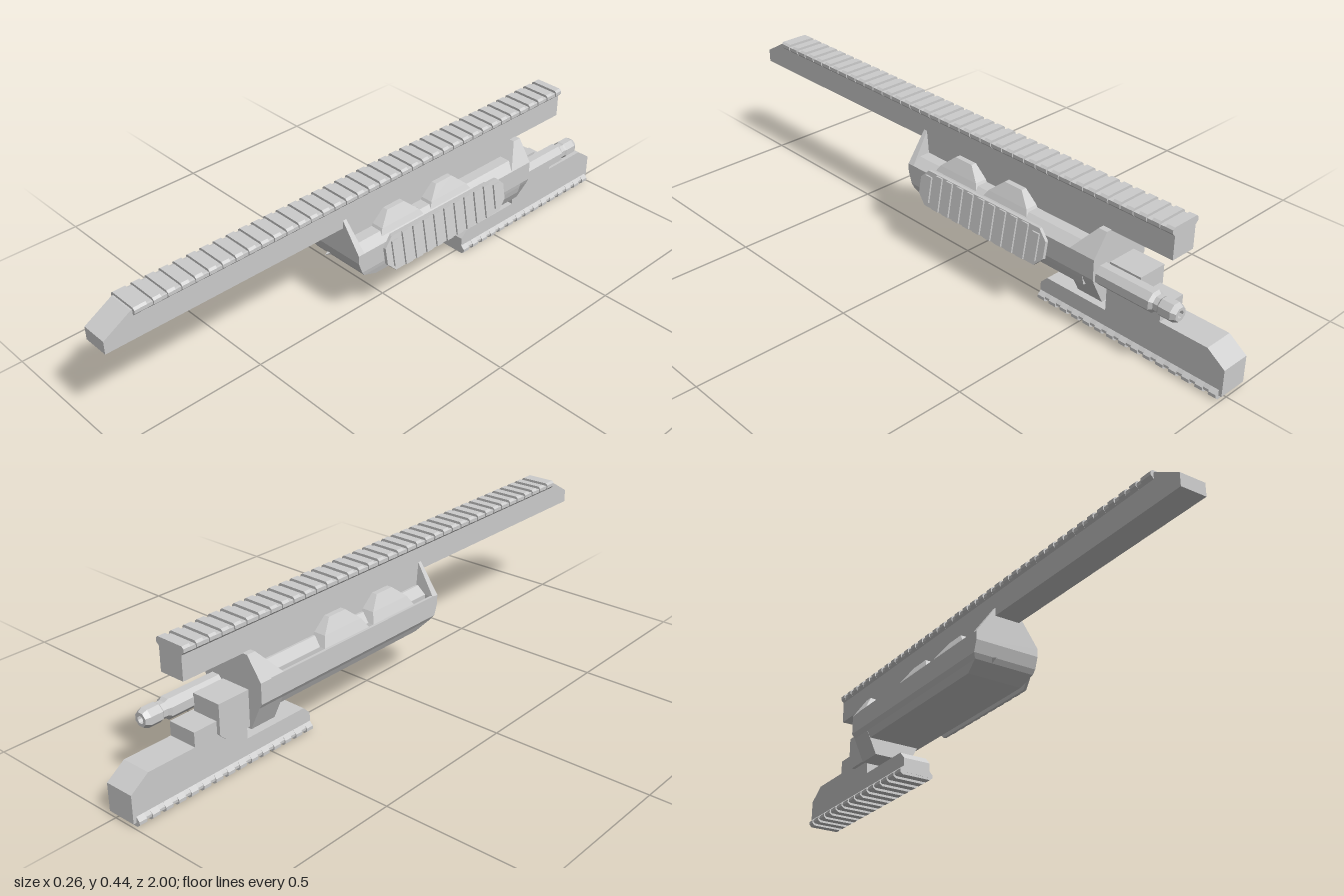
import * as THREE from 'three';

const CX = -0.025; // centre line of both rails
const mat = new THREE.MeshStandardMaterial({ color: 0xcccccc, flatShading: true });

function add(parent, name, geo) {
  const m = new THREE.Mesh(geo, mat);
  m.name = name;
  parent.add(m);
  return m;
}

function shapeOf(pts) {
  return new THREE.Shape(pts.map(([a, b]) => new THREE.Vector2(a, b)));
}

// cross-section in x,y drawn out from z0 to z1
function alongZ(pts, z0, z1) {
  return new THREE.ExtrudeGeometry(shapeOf(pts), { depth: z1 - z0, bevelEnabled: false }).translate(0, 0, z0);
}

// side profile in z,y drawn out from x0 to x1
function alongX(pts, x0, x1) {
  return new THREE.ExtrudeGeometry(shapeOf(pts), { depth: x1 - x0, bevelEnabled: false })
    .rotateY(-Math.PI / 2).translate(x1, 0, 0);
}

function box(x0, x1, y0, y1, z0, z1) {
  return new THREE.BoxGeometry(x1 - x0, y1 - y0, z1 - z0)
    .translate((x0 + x1) / 2, (y0 + y1) / 2, (z0 + z1) / 2);
}

// stacked rectangles, each row is [y, x0, x1, z0, z1], bottom to top
function stack(rows) {
  const pos = [], idx = [];
  for (const [y, x0, x1, z0, z1] of rows) pos.push(x0, y, z1, x1, y, z1, x1, y, z0, x0, y, z0);
  for (let r = 0; r < rows.length - 1; r++) {
    for (let k = 0; k < 4; k++) {
      const a = r * 4 + k, b = r * 4 + (k + 1) % 4;
      idx.push(a, b, b + 4, a, b + 4, a + 4);
    }
  }
  const t = (rows.length - 1) * 4;
  idx.push(0, 2, 1, 0, 3, 2, t, t + 1, t + 2, t, t + 2, t + 3);
  const g = new THREE.BufferGeometry();
  g.setAttribute('position', new THREE.Float32BufferAttribute(pos, 3));
  g.setIndex(idx);
  g.computeVertexNormals();
  return g;
}

// mirrored section about the rail centre from right-hand half points, bottom to top
function mirrored(half) {
  return [...half.map(([h, y]) => [CX + h, y]), ...half.slice().reverse().map(([h, y]) => [CX - h, y])];
}

export function createModel() {
  const model = new THREE.Group();

  // long upper rail with sloping nose and toothed top
  const top = new THREE.Group();
  top.name = 'upperRail';
  model.add(top);
  add(top, 'railBeam', alongX([[-0.8, 0.343], [1, 0.343], [1, 0.385], [0.91, 0.437], [-0.8, 0.437]], CX - 0.043, CX + 0.043));
  add(top, 'railLip', alongZ(mirrored([[0.043, 0.418], [0.049, 0.425], [0.049, 0.436], [0.043, 0.437]]), -0.8, 0.9));
  const tooth = mirrored([[0.043, 0.418], [0.053, 0.428], [0.053, 0.439], [0.046, 0.445]]);
  const pitch = 0.045;
  for (let i = 0; i < 37; i++) {
    const z = -0.8 + i * pitch;
    add(top, 'railTooth', alongZ(tooth, z, z + 0.025));
  }
  add(top, 'frontTooth', alongZ(tooth, 0.865, 0.905));

  // main housing
  const body = new THREE.Group();
  body.name = 'housing';
  model.add(body);
  add(body, 'neck', box(CX - 0.043, CX + 0.043, 0.27, 0.345, -0.59, 0.17));
  add(body, 'lowerShell', stack([
    [0.172, -0.113, 0.076, -0.55, 0.1],
    [0.195, -0.125, 0.082, -0.55, 0.155],
    [0.21, -0.135, 0.085, -0.55, 0.165],
    [0.247, -0.135, 0.085, -0.55, 0.178],
  ]));
  add(body, 'upperShell', stack([
    [0.24, -0.105, 0.085, -0.55, 0.165],
    [0.275, -0.105, 0.085, -0.55, 0.165],
    [0.297, -0.075, 0.055, -0.55, 0.165],
  ]));
  add(body, 'slotWall', box(-0.135, -0.126, 0.24, 0.277, -0.55, 0.165));
  add(body, 'frontPlate', stack([
    [0.247, -0.135, 0.085, 0.155, 0.178],
    [0.275, -0.135, 0.085, 0.155, 0.178],
    [0.37, -0.068, 0.018, 0.165, 0.178],
  ]));
  add(body, 'rearBlock', stack([
    [0.118, -0.09, 0.04, -0.59, -0.5],
    [0.195, -0.125, 0.079, -0.59, -0.5],
    [0.21, -0.135, 0.085, -0.59, -0.5],
    [0.275, -0.135, 0.085, -0.59, -0.5],
    [0.345, -0.086, 0.036, -0.59, -0.56],
  ]));
  for (const z of [-0.02, -0.23]) {
    add(body, 'clampBlock', stack([
      [0.275, -0.125, 0.075, z - 0.095, z + 0.095],
      [0.305, -0.109, 0.059, z - 0.078, z + 0.078],
      [0.342, -0.086, 0.036, z - 0.035, z + 0.035],
    ]));
  }
  // small catch on the nose
  add(body, 'frontCatch', new THREE.ConeGeometry(0.012, 0.03, 3).rotateX(Math.PI / 2).translate(-0.065, 0.205, 0.165));

  // tilted ribbed side pad
  const pad = new THREE.Group();
  pad.name = 'sidePad';
  pad.position.set(0.107, 0.245, -0.17);
  pad.rotation.z = 0.18;
  model.add(pad);
  const outline = (L, H, c) => [[-L + c, -H], [L - c, -H], [L, -H + c], [L, H - c], [L - c, H], [-L + c, H], [-L, H - c], [-L, -H + c]];
  add(pad, 'padBase', alongX(outline(0.235, 0.045, 0.025), -0.04, 0));
  add(pad, 'padPlate', alongX(outline(0.262, 0.057, 0.03), -0.004, 0.007));
  for (let i = 0; i < 11; i++) {
    const z = -0.225 + i * 0.045;
    const h = i % 10 === 0 ? 0.042 : 0.055;
    add(pad, 'padRib', stack([
      [-h, 0, 0.013, z - 0.013, z + 0.013],
      [h, 0, 0.013, z - 0.013, z + 0.013],
    ]));
  }

  // eight-sided barrel with stepped, hollow tip
  const barrel = [[0, -0.5], [0.034, -0.5], [0.034, -0.775], [0.026, -0.785], [0.026, -0.8], [0.03, -0.805],
    [0.03, -0.845], [0.022, -0.86], [0.012, -0.86], [0.012, -0.83], [0, -0.83]]
    .map(([r, z]) => new THREE.Vector2(r, -z)).reverse();
  const tube = new THREE.LatheGeometry(barrel, 8, Math.PI / 8).rotateX(-Math.PI / 2).translate(0.044, 0.215, 0);
  add(model, 'barrel', tube).material = new THREE.MeshStandardMaterial({ color: 0xcccccc, flatShading: true, side: THREE.DoubleSide });

  // lower mount and its short rail
  const low = new THREE.Group();
  low.name = 'lowerMount';
  model.add(low);
  add(low, 'mountBeam', alongX([
    [-0.34, 0.012], [-0.34, 0.057], [-0.365, 0.082], [-0.59, 0.082], [-0.59, 0.185], [-0.78, 0.185],
    [-0.78, 0.14], [-0.94, 0.14], [-1, 0.098], [-1, 0.012],
  ].reverse(), CX - 0.048, CX + 0.048));
  add(low, 'mountBlock', alongX([
    [-0.59, 0.125], [-0.59, 0.24], [-0.7, 0.24], [-0.7, 0.145], [-0.68, 0.125],
  ].reverse(), -0.085, 0.015));
  add(low, 'lowerLip', alongZ(mirrored([[0.05, 0.008], [0.056, 0.012], [0.056, 0.02], [0.048, 0.03]]), -0.99, -0.34));
  const lowTooth = mirrored([[0.05, 0], [0.06, 0.008], [0.06, 0.018], [0.048, 0.03]]);
  for (let i = 0; i < 15; i++) {
    const z = -0.99 + i * 0.0446;
    add(low, 'lowerTooth', alongZ(lowTooth, z, z + 0.025));
  }
  return model;
}
